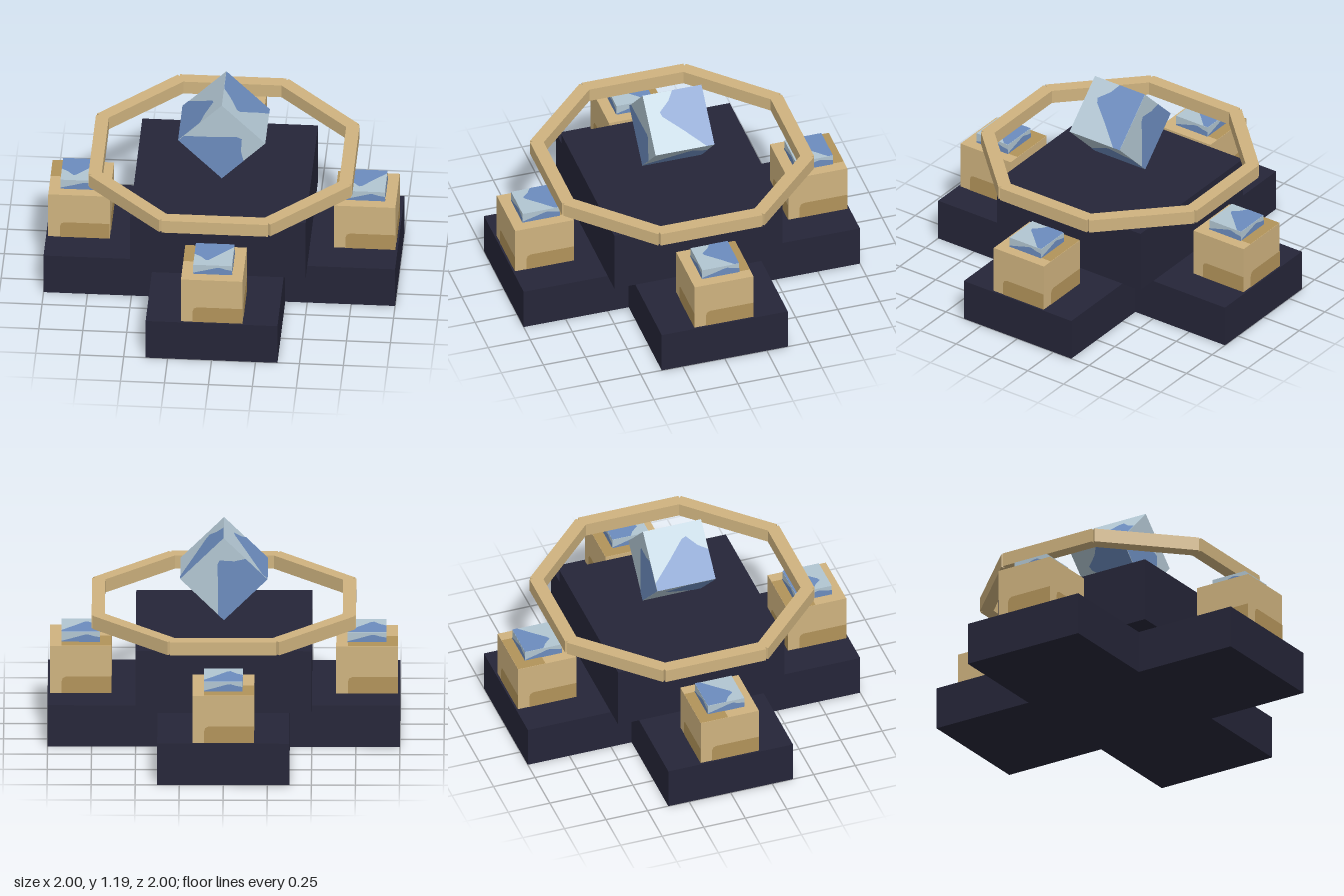
import * as THREE from 'three';

const mat = (name, color) => {
  const m = new THREE.MeshStandardMaterial({ color });
  m.name = name;
  return m;
};

// Turns normalised face points into a flat shape of the given size, centred on 0
const faceShape = (points, w, h, turn) =>
  new THREE.Shape(points.map(([u, v]) =>
    new THREE.Vector2((u - 0.5) * w * turn, (v - 0.5) * h * turn)));

export function createModel() {
  const navy = mat('navy', 0x252538);
  const gold = mat('gold', 0xcfb37f);
  const darkGold = mat('darkGold', 0xb2935a);
  const paleBlue = mat('paleBlue', 0xb2c6d2);
  const blue = mat('blue', 0x6c8cbe);

  const model = new THREE.Group();
  model.name = 'shrine';

  const add = (parent, name, geometry, material, x = 0, y = 0, z = 0) => {
    const mesh = new THREE.Mesh(geometry, material);
    mesh.name = name;
    mesh.position.set(x, y, z);
    parent.add(mesh);
    return mesh;
  };

  // Box with a painted patch on its four sides, top and (optionally) bottom
  const paintedBox = (name, w, h, base, paint, side, top, bottom) => {
    const group = new THREE.Group();
    group.name = name;
    add(group, name + 'Body', new THREE.BoxGeometry(w, h, w), base);
    const gap = 0.002;
    for (let i = 0; i < 4; i++) {
      const a = i * Math.PI / 2;
      const patch = add(group, name + 'SidePatch',
        new THREE.ShapeGeometry(faceShape(side, w, h, 1)), paint,
        Math.sin(a) * (w / 2 + gap), 0, Math.cos(a) * (w / 2 + gap));
      patch.rotation.y = a;
    }
    const lid = new THREE.ShapeGeometry(faceShape(top, w, w, -1));
    add(group, name + 'TopPatch', lid, paint, 0, h / 2 + gap).rotation.x = -Math.PI / 2;
    if (bottom) add(group, name + 'BottomPatch', lid, paint, 0, -h / 2 - gap).rotation.x = Math.PI / 2;
    return group;
  };

  // Cross-shaped base
  const a = 0.375;
  const cross = new THREE.Shape([
    [-a, -1], [a, -1], [a, -a], [1, -a], [1, a], [a, a],
    [a, 1], [-a, 1], [-a, a], [-1, a], [-1, -a], [-a, -a],
  ].map(([x, y]) => new THREE.Vector2(x, y)));
  const baseGeometry = new THREE.ExtrudeGeometry(cross, { depth: 0.25, bevelEnabled: false });
  baseGeometry.rotateX(-Math.PI / 2);
  add(model, 'crossBase', baseGeometry, navy);

  // Central block, overhanging the inner corners of the cross
  add(model, 'centralBlock', new THREE.BoxGeometry(1, 0.375, 1), navy, 0, 0.4375, 0);

  // Patch outlines in face units
  const stone = [[0, 0], [1, 0], [1, 0.5], [0.84, 0.6], [0.68, 0.78],
    [0.6, 0.75], [0.32, 0.45], [0, 0.13]];
  const band = (h) => [[0.19, 0], [1, 0], [1, h], [0.26, h], [0.21, h - 0.03], [0.19, h - 0.1]];

  // Pedestal with a small stone on each arm
  for (const [x, z] of [[0, 1], [1, 0], [0, -1], [-1, 0]]) {
    const r = 0.8125;
    const pedestal = paintedBox('pedestal', 0.35, 0.285, gold, darkGold, band(0.35), band(0.47));
    pedestal.position.set(x * r, 0.3925, z * r);
    const cap = paintedBox('capStone', 0.22, 0.06, paleBlue, blue, stone, stone);
    cap.position.set(x * r, 0.565, z * r);
    model.add(pedestal, cap);
  }

  // Floating octagonal ring of eight bars
  const ring = new THREE.Group();
  ring.name = 'ring';
  model.add(ring);
  for (let i = 0; i < 8; i++) {
    const t = i * Math.PI / 4;
    add(ring, 'ringBar', new THREE.BoxGeometry(0.605, 0.08, 0.075), gold,
      Math.sin(t) * 0.7125, 0.73, Math.cos(t) * 0.7125).rotation.y = t;
  }

  // Floating cube balanced on its edge
  const cube = paintedBox('floatingCube', 0.35, 0.35, paleBlue, blue, stone, stone, true);
  cube.position.y = 0.94;
  cube.rotation.z = -Math.PI / 4;
  model.add(cube);

  return model;
}
